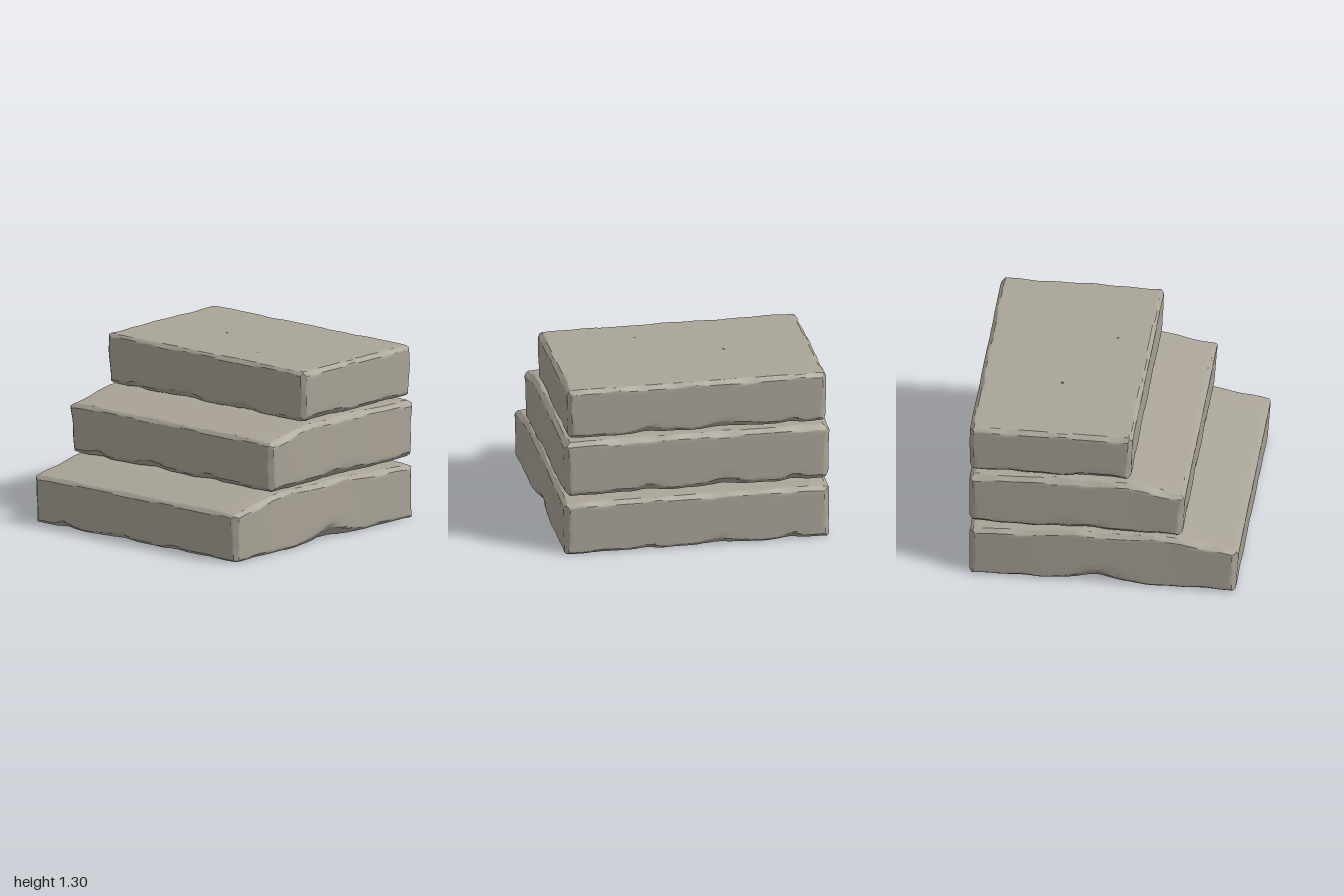
import * as THREE from 'three';
import { mergeVertices, toCreasedNormals } from 'three/addons/utils/BufferGeometryUtils.js';

const bump = (t, at, width) => Math.exp(-(((t - at) / width) ** 2));

// Piecewise-linear height of a worn top, from [z, y] points
function heightAt(points, z) {
  for (let i = 1; i < points.length; i++) {
    const [z0, y0] = points[i - 1], [z1, y1] = points[i];
    if (z <= z1) return y0 + ((y1 - y0) * Math.max(0, z - z0)) / (z1 - z0);
  }
  return points[points.length - 1][1];
}

// Grid stations along one axis, packed tightly at both ends for the worn edges
function stations(half, inner) {
  const edge = [0, 0.008, 0.018, 0.03, 0.045, 0.065];
  const list = edge.map((d) => -half + d);
  const a = half - 0.065;
  for (let i = 1; i < inner; i++) list.push(-a + (2 * a * i) / inner);
  return list.concat(edge.map((d) => half - d).reverse());
}

// Width of the worn chamfer on each edge; t runs along the edge
function wear(i, j, p, s, slab) {
  const t = p[3 - i - j];
  const wave = 0.006 * Math.sin(t * 9 + slab.seed + i) + 0.004 * Math.sin(t * 23 + slab.seed * 2 + j);
  if (i === 0 && j === 2) return 0.035 + wave;
  if (s[1] > 0) return (j === 2 && s[2] > 0 ? 0.025 : slab.topWear) + wave;
  if (j === 2) {
    const chips = 0.03 * (bump(t, -0.72, 0.06) + bump(t, -0.2, 0.13) + bump(t, 0.36, 0.07));
    return slab.bottomWear + chips + wave;
  }
  return slab.bottomWear + slab.sideChip * bump(p[2] + slab.zMid, -0.08, 0.2) + wave;
}

function slabGeometry(slab) {
  const { y0, y1, zBack, zFront, halfX, top, lean } = slab;
  const half = [halfX, (y1 - y0) / 2, (zFront - zBack) / 2];
  const zMid = (zFront + zBack) / 2, yMid = (y0 + y1) / 2;
  slab.zMid = zMid;
  const grid = [stations(half[0], 44), stations(half[1], 6), stations(half[2], 36)];
  const n = grid.map((g) => g.length - 1);
  let geo = new THREE.BoxGeometry(n[0], n[1], n[2], n[0], n[1], n[2]);
  geo.deleteAttribute('uv');
  geo.deleteAttribute('normal');
  geo = mergeVertices(geo, 0.01);
  const pos = geo.attributes.position;
  for (let v = 0; v < pos.count; v++) {
    const p = [0, 1, 2].map((k) => grid[k][Math.round(pos.getComponent(v, k) + n[k] / 2)]);
    const s = p.map((c) => (c < 0 ? -1 : 1));
    // Chamfer every edge, deeper where it is chipped
    for (const [i, j] of [[0, 2], [0, 1], [1, 2]]) {
      const gap = half[i] - Math.abs(p[i]) + half[j] - Math.abs(p[j]);
      const push = (wear(i, j, p, s, slab) - gap) / 2;
      if (push > 0) {
        p[i] -= s[i] * push;
        p[j] -= s[j] * push;
      }
    }
    // Slope the tread and lean the front face
    const up = (p[1] + half[1]) / (2 * half[1]);
    const z = p[2] + zMid;
    const forward = Math.max(0, p[2] / half[2]);
    const dip = slab.sideDip * bump(Math.abs(p[0]), halfX, 0.09) * (0.7 + 0.3 * Math.sin(z * 11 + slab.seed));
    pos.setXYZ(
      v,
      p[0] * (1 - 0.006 * (1 - up)),
      p[1] + yMid + up * (heightAt(top, z) - y1 - dip),
      z - lean * (1 - up) * forward
    );
  }
  return toCreasedNormals(geo, 0.45);
}

export function createModel() {
  const model = new THREE.Group();
  const stone = new THREE.MeshStandardMaterial({ color: 0xaaa498 });
  stone.name = 'warm grey stone';
  const shade = new THREE.MeshStandardMaterial({ color: 0x6e6a62 });
  shade.name = 'dark stone';

  const slabs = [
    { name: 'bottomStep', y0: 0.005, y1: 0.455, zBack: -0.995, zFront: 1, halfX: 0.995, lean: 0.025,
      top: [[-1, 0.405], [-0.6, 0.43], [-0.2, 0.453], [0.55, 0.455], [1, 0.365]],
      topWear: 0.03, bottomWear: 0.025, sideChip: 0.07, sideDip: 0.015, seed: 1 },
    { name: 'middleStep', y0: 0.46, y1: 0.915, zBack: -0.995, zFront: 0.605, halfX: 0.993, lean: 0.025,
      top: [[-1, 0.89], [-0.6, 0.908], [-0.2, 0.915], [0.18, 0.913], [0.605, 0.84]],
      topWear: 0.035, bottomWear: 0.04, sideChip: 0.02, sideDip: 0.012, seed: 2.3 },
    { name: 'topStep', y0: 0.922, y1: 1.302, zBack: -0.995, zFront: 0.212, halfX: 0.97, lean: 0.015,
      top: [[-1, 1.302], [0.3, 1.302]],
      topWear: 0.03, bottomWear: 0.03, sideChip: 0.02, sideDip: 0, seed: 4.1 },
  ];
  for (const slab of slabs) {
    const mesh = new THREE.Mesh(slabGeometry(slab), stone);
    mesh.name = slab.name;
    model.add(mesh);
  }

  // Small pits in the top slab
  for (const [x, z] of [[-0.31, -0.385], [0.29, -0.05]]) {
    const pit = new THREE.Mesh(new THREE.CylinderGeometry(0.013, 0.013, 0.004, 7), shade);
    pit.name = 'surfacePit';
    pit.position.set(x, 1.301, z);
    model.add(pit);
  }
  return model;
}
